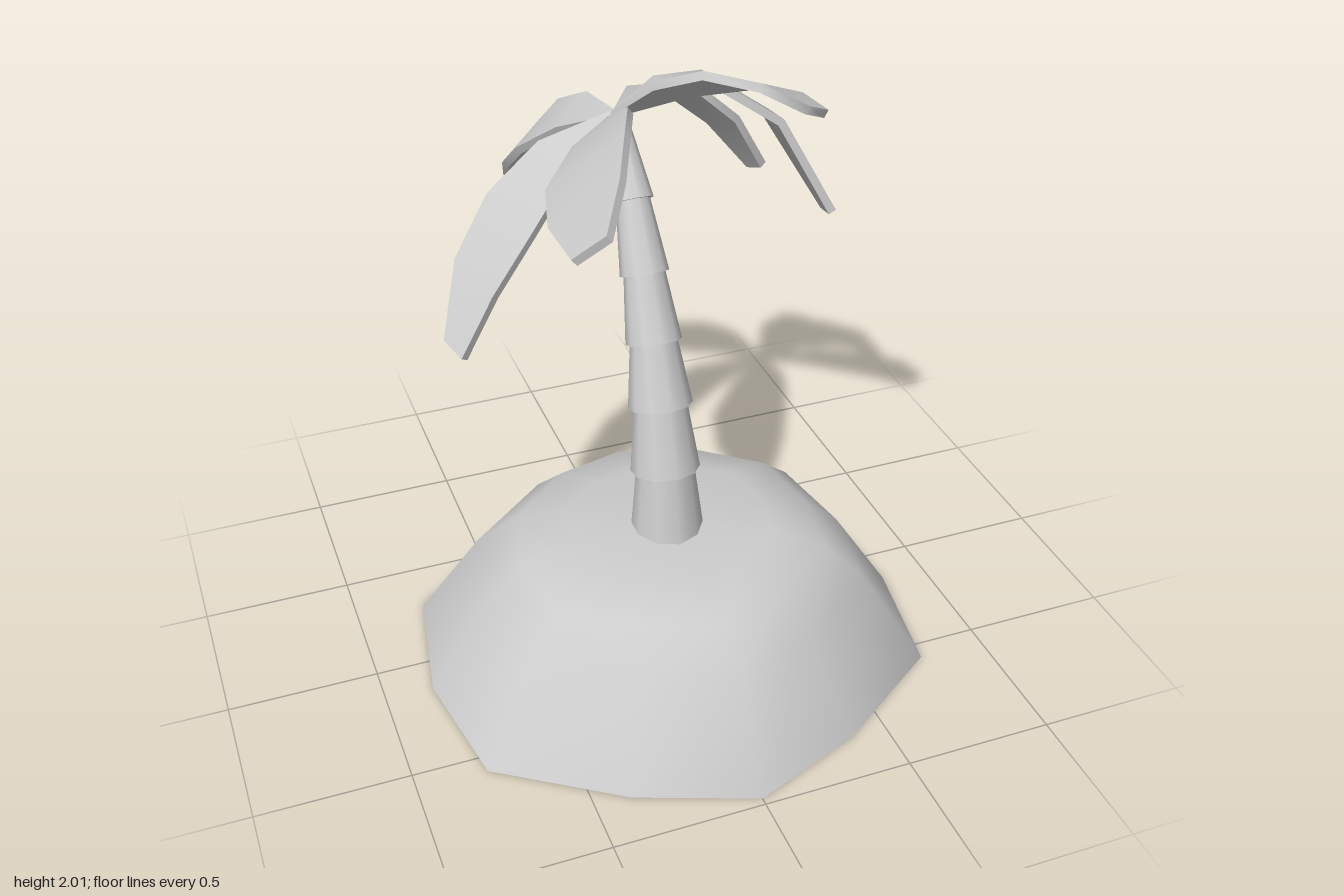
import * as THREE from 'three';
import { toCreasedNormals } from 'three/addons/utils/BufferGeometryUtils.js';

const material = new THREE.MeshStandardMaterial({ color: 0xcccccc });
const V = (x, y, z) => new THREE.Vector3(x, y, z);

// Skin a stack of rings (counter-clockwise seen from the last ring), closed at both ends
function loft(rings, startCentre, endCentre) {
  const n = rings[0].length;
  const points = [...rings.flat(), startCentre, endCentre];
  const start = points.length - 2, end = points.length - 1;
  const last = (rings.length - 1) * n;
  const index = [];
  for (let i = 0; i < n; i++) {
    const j = (i + 1) % n;
    for (let k = 0; k < last; k += n) {
      index.push(k + i, k + j, k + n + j, k + i, k + n + j, k + n + i);
    }
    index.push(start, j, i, end, last + i, last + j);
  }
  const geometry = new THREE.BufferGeometry().setFromPoints(points);
  geometry.setIndex(index);
  return toCreasedNormals(geometry, 0.9);
}

// Twelve-sided mound with a slightly dished top
function createIsland() {
  const half = [[0, 0.84], [0.38, 0.695], [0.77, 0.43], [0.84, 0], [0.77, -0.425], [0.38, -0.745], [0, -0.835]];
  const mirrored = half.slice(1, 6).reverse().map(([x, z]) => [-x, z]);
  const outline = [...half, ...mirrored];
  const levels = [[1, 0], [0.755, 0.32], [0.6, 0.435], [0.4, 0.468]];
  const rings = levels.map(([s, y], level) => outline.map(([x, z]) =>
    V(x * s, y + (level === 3 ? Math.abs(x) * 0.026 : 0), 0.135 + z * s)));
  return loft(rings, V(0, 0, 0.135), V(0, 0.467, 0.135));
}

// Leaf blade: a thin tapered slab along a spine, `side` is its widest half width
function createFrond(spine, side) {
  const widths = [0.1, 0.72, 1, 0.88, 0.42];
  const thickness = 0.028;
  const across = side.clone();
  const overall = spine[4].clone().sub(spine[0]);
  if (overall.clone().cross(across).y < 0) across.negate();
  const rings = spine.map((p, i) => {
    const along = spine[Math.min(i + 1, 4)].clone().sub(spine[Math.max(i - 1, 0)]);
    const down = along.cross(across).normalize().multiplyScalar(-thickness * (i ? 1 : 0.5));
    const a = p.clone().addScaledVector(across, widths[i]);
    const b = p.clone().addScaledVector(across, -widths[i]);
    return [a, b, b.clone().add(down), a.clone().add(down)];
  });
  const centre = (ring) => ring[0].clone().add(ring[2]).multiplyScalar(0.5);
  return loft(rings, centre(rings[0]), centre(rings[4]));
}

export function createModel() {
  const model = new THREE.Group();
  const add = (parent, name, geometry) => {
    const mesh = new THREE.Mesh(geometry, material);
    mesh.name = name;
    parent.add(mesh);
    return mesh;
  };

  add(model, 'island', createIsland());

  // Leaning trunk of overlapping tapered segments: [y, z, bottom radius, top radius]
  const trunk = new THREE.Group();
  trunk.name = 'trunk';
  model.add(trunk);
  const joints = [
    [0.455, 0.13, 0.122, 0.095], [0.685, 0.11, 0.115, 0.086], [0.905, 0.063, 0.106, 0.076],
    [1.11, 0, 0.092, 0.066], [1.315, -0.085, 0.08, 0.054], [1.525, -0.19, 0.067, 0.033],
    [1.755, -0.34],
  ];
  for (let i = 0; i < 6; i++) {
    const [y, z, bottom, top] = joints[i];
    const from = V(0, y, z), to = V(0, joints[i + 1][0], joints[i + 1][1]);
    const axis = to.clone().sub(from);
    const length = axis.length() + (i < 5 ? 0.015 : 0);
    axis.normalize();
    const segment = add(trunk, 'trunkSegment', new THREE.CylinderGeometry(top, bottom, length, 10));
    segment.quaternion.setFromUnitVectors(V(0, 1, 0), axis);
    segment.position.copy(from).addScaledVector(axis, length / 2);
  }

  // Crown of six fronds, each with its own droop and tilt
  const crown = new THREE.Group();
  crown.name = 'crown';
  model.add(crown);
  const root = V(0, 1.75, -0.375);
  const fronds = [
    [[V(-0.07, 1.68, -0.6), V(-0.14, 1.57, -0.77), V(-0.17, 1.46, -0.88), V(-0.18, 1.33, -0.97)], V(0.09, 0.06, -0.04)],
    [[V(0.15, 1.75, -0.56), V(0.33, 1.7, -0.62), V(0.5, 1.55, -0.64), V(0.63, 1.36, -0.63)], V(-0.01, -0.05, -0.12)],
    [[V(0.17, 1.82, -0.42), V(0.35, 1.81, -0.42), V(0.57, 1.66, -0.37), V(0.74, 1.34, -0.26)], V(0.02, -0.03, -0.12)],
    [[V(0.14, 1.88, -0.23), V(0.27, 1.95, -0.08), V(0.4, 1.94, 0.04), V(0.48, 1.9, 0.13)], V(0.11, -0.06, -0.07)],
    [[V(-0.11, 1.8, -0.18), V(-0.22, 1.78, 0), V(-0.29, 1.75, 0.2), V(-0.345, 1.72, 0.41)], V(-0.11, -0.095, -0.05)],
    [[V(-0.2, 1.63, -0.38), V(-0.37, 1.47, -0.34), V(-0.51, 1.29, -0.29), V(-0.61, 1.08, -0.22)], V(-0.04, 0.03, -0.11)],
  ];
  for (const [points, side] of fronds) {
    add(crown, 'frond', createFrond([root, ...points], side));
  }
  return model;
}
